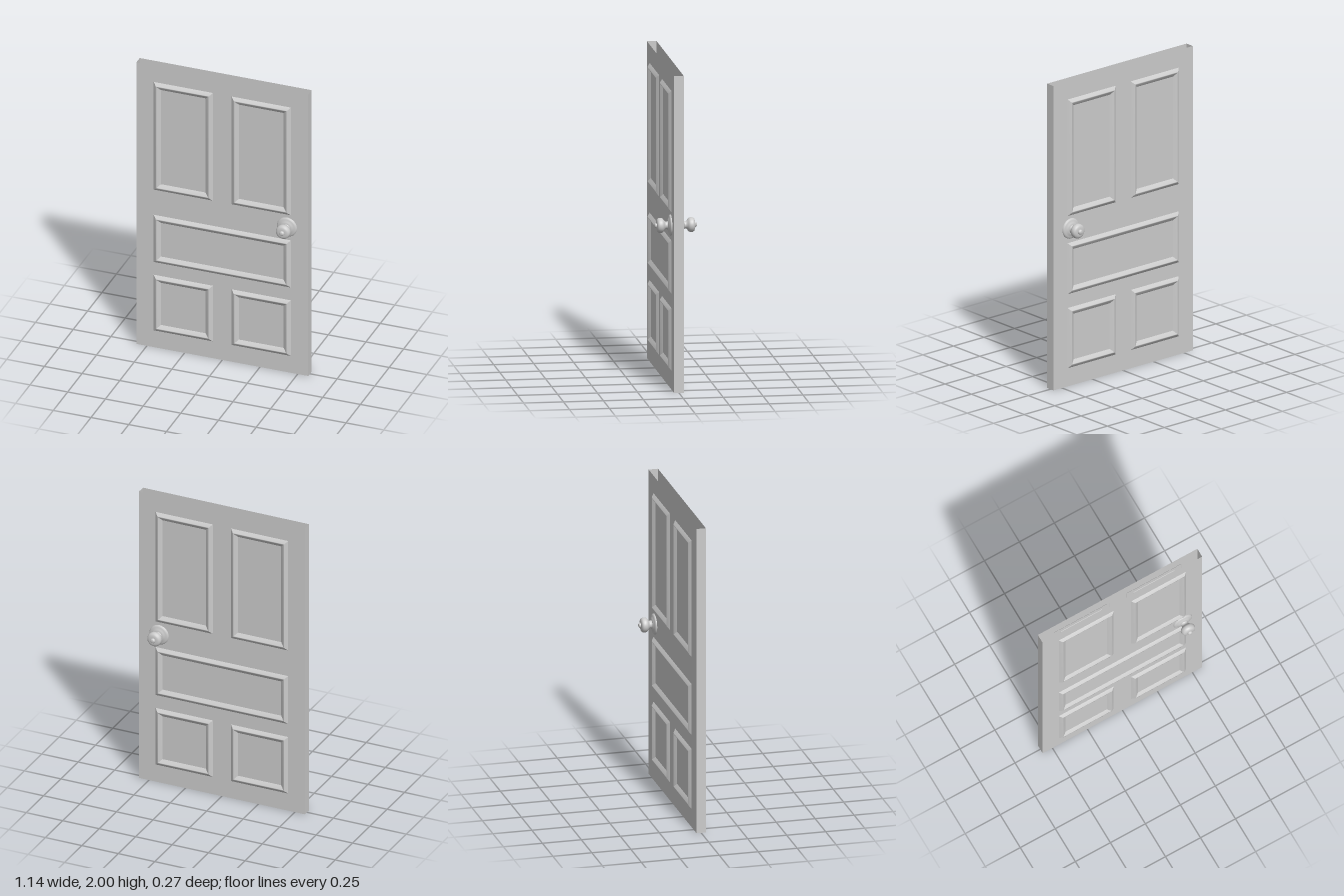
import * as THREE from 'three';

const W = 1.14, H = 2, FACE = 0.03;
const material = new THREE.MeshStandardMaterial({ color: 0xcccccc, side: THREE.DoubleSide });

function addMesh(parent, name, geometry) {
  const mesh = new THREE.Mesh(geometry, material);
  mesh.name = name;
  parent.add(mesh);
  return mesh;
}

// Hollow leaf: a box without its top and bottom faces
function leafGeometry() {
  const g = new THREE.BoxGeometry(W, H, FACE * 2);
  const index = Array.from(g.index.array);
  g.setIndex([...index.slice(0, 12), ...index.slice(24)]);
  g.clearGroups();
  return g.translate(0, H / 2, 0);
}

// Mitred rectangular moulding: a ridge profile [inset, z] swept along four sides
function mouldingGeometry(x0, x1, y0, y1) {
  const profile = [[0, FACE - 0.002], [0.022, 0.0465], [0.028, 0.0465], [0.053, FACE - 0.002]];
  const positions = [], index = [];
  const corner = (k, d) => [
    [x0 + d, y0 + d], [x1 - d, y0 + d], [x1 - d, y1 - d], [x0 + d, y1 - d],
  ][k % 4];
  for (let side = 0; side < 4; side++) {
    const base = positions.length / 3;
    for (const [d, z] of profile) {
      positions.push(...corner(side, d), z, ...corner(side + 1, d), z);
    }
    for (let i = 0; i < profile.length - 1; i++) {
      const a = base + i * 2;
      index.push(a, a + 1, a + 3, a, a + 3, a + 2);
    }
  }
  const g = new THREE.BufferGeometry();
  g.setAttribute('position', new THREE.Float32BufferAttribute(positions, 3));
  g.setIndex(index);
  g.computeVertexNormals();
  return g;
}

// Turned part whose axis points along +z; points are [radius, z]
function turned(points) {
  const profile = points.map(([r, z]) => new THREE.Vector2(r, z));
  return new THREE.LatheGeometry(profile, 32).rotateX(Math.PI / 2);
}

function createKnob() {
  const knob = new THREE.Group();
  knob.name = 'doorKnob';
  addMesh(knob, 'rosePlate', turned([
    [0.066, 0.029], [0.066, 0.034], [0.062, 0.039], [0.054, 0.042],
    [0.046, 0.043], [0.040, 0.047], [0.030, 0.050], [0.015, 0.051],
  ]));
  addMesh(knob, 'handle', turned([
    [0.029, 0.046], [0.025, 0.053], [0.023, 0.060], [0.025, 0.067], [0.033, 0.074],
    [0.042, 0.080], [0.046, 0.088], [0.047, 0.098], [0.045, 0.108], [0.040, 0.115],
    [0.030, 0.119], [0.018, 0.120], [0, 0.120],
  ]));
  addMesh(knob, 'endButton', turned([
    [0.016, 0.118], [0.016, 0.125], [0.013, 0.130], [0.008, 0.133], [0, 0.133],
  ]));
  return knob;
}

export function createModel() {
  const door = new THREE.Group();
  door.name = 'panelDoor';
  addMesh(door, 'doorLeaf', leafGeometry());

  // Panel rectangles: x0, x1, y0, y1
  const panels = [[-0.457, 0.457, 0.603, 0.943]];
  for (const [y0, y1] of [[0.117, 0.517], [1.117, 1.887]]) {
    panels.push([-0.457, -0.06, y0, y1], [0.06, 0.457, y0, y1]);
  }

  // Same mouldings on both faces; the knobs share one spindle
  for (const [name, turn, knobX] of [['frontFace', 0, 0.43], ['backFace', Math.PI, -0.43]]) {
    const face = new THREE.Group();
    face.name = name;
    for (const p of panels) addMesh(face, 'panelMoulding', mouldingGeometry(...p));
    const knob = createKnob();
    knob.position.set(knobX, 1.033, 0);
    face.add(knob);
    face.rotation.y = turn;
    door.add(face);
  }
  return door;
}
